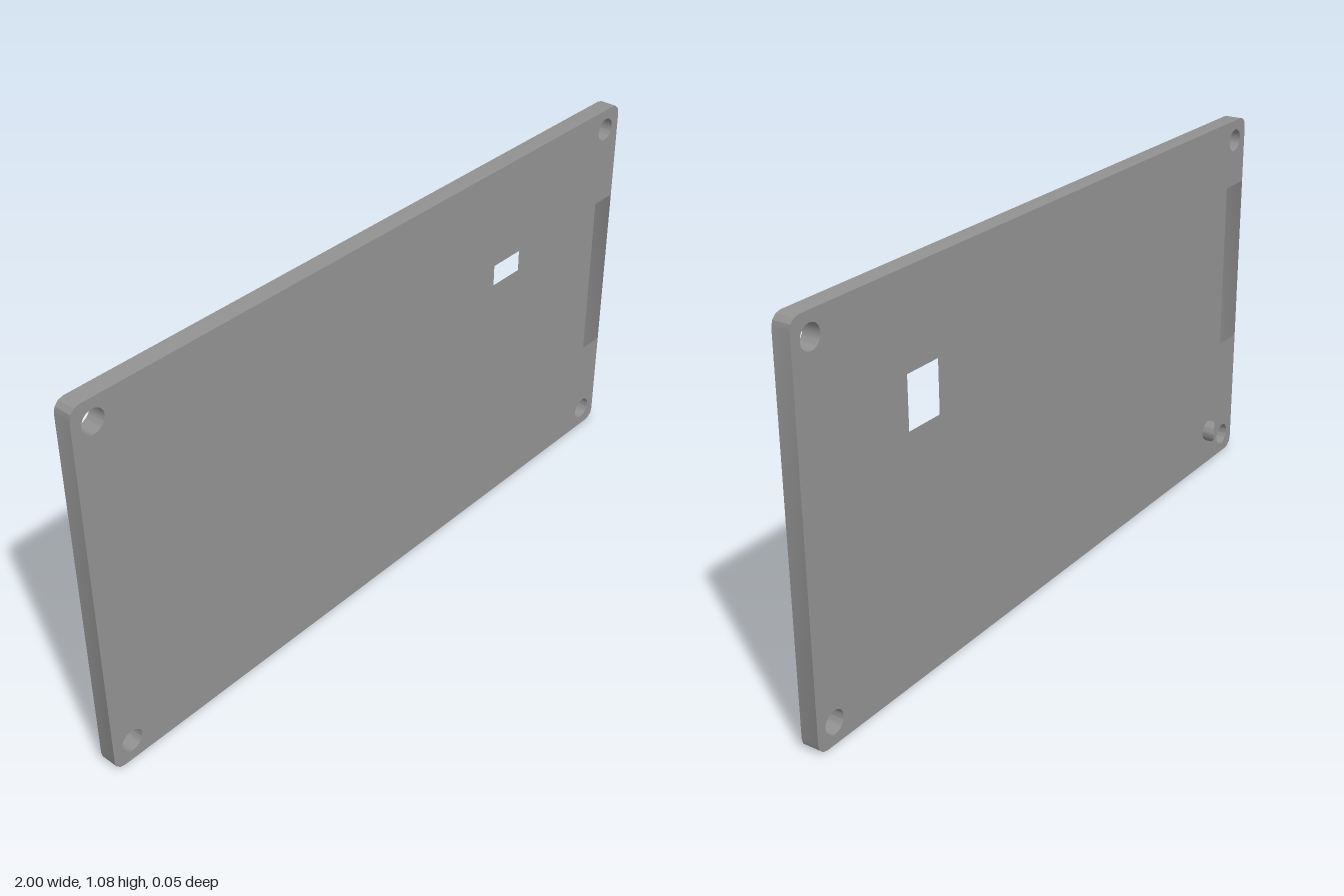
import * as THREE from 'three';
import { toCreasedNormals } from 'three/addons/utils/BufferGeometryUtils.js';

const H = 1.075, DEPTH = 0.05, R = 0.03, CORNER_STEPS = 3;

// Plate outline with faceted corners, optionally with a notch [x, y0, y1] open to the +x edge
function outline(notch) {
  const points = [];
  const corner = (x, y, from) => {
    for (let i = 0; i <= CORNER_STEPS; i++) {
      const a = from + (i / CORNER_STEPS) * Math.PI / 2;
      points.push(new THREE.Vector2(x + R * Math.cos(a), y + R * Math.sin(a)));
    }
  };
  corner(1 - R, R, -Math.PI / 2);
  if (notch) {
    const [x, y0, y1] = notch;
    for (const [px, py] of [[1, y0], [x, y0], [x, y1], [1, y1]]) points.push(new THREE.Vector2(px, py));
  }
  corner(1 - R, H - R, 0);
  corner(-1 + R, H - R, Math.PI / 2);
  corner(-1 + R, R, Math.PI);
  const s = new THREE.Shape(points);

  // Four screw holes
  for (const x of [-0.94, 0.94]) for (const y of [0.06, H - 0.06]) {
    s.holes.push(new THREE.Path().absarc(x, y, 0.032, 0, Math.PI * 2, true));
  }
  return s;
}

function rectHole(x, y, w, h) {
  return new THREE.Path([
    new THREE.Vector2(x, y), new THREE.Vector2(x, y + h),
    new THREE.Vector2(x + w, y + h), new THREE.Vector2(x + w, y),
  ]);
}

export function createModel() {
  const group = new THREE.Group();
  const material = new THREE.MeshStandardMaterial({ color: 0x929292, side: THREE.DoubleSide });
  const add = (name, geometry) => {
    const mesh = new THREE.Mesh(geometry, material);
    mesh.name = name;
    group.add(mesh);
    return mesh;
  };

  // Front skin: side opening and small central window
  const front = outline([0.448, 0.292, 0.787]);
  front.holes.push(rectHole(-0.062, 0.462, 0.153, 0.155));
  add('frontSkin', new THREE.ShapeGeometry(front, 16)).position.z = DEPTH / 2;

  // Back skin, drawn as seen from behind: side opening, window, row of slots
  const back = outline([0.347, 0.38, 0.877]);
  back.holes.push(rectHole(-0.628, 0.677, 0.156, 0.155));
  for (let i = 0; i < 8; i++) back.holes.push(rectHole(-0.012 + i * 0.1135, 0.059, 0.107, 0.218));
  const backSkin = add('backSkin', new THREE.ShapeGeometry(back, 16));
  backSkin.rotation.y = Math.PI;
  backSkin.position.z = -DEPTH / 2;

  // Outer rim and screw hole walls: only the sides of the extrusion
  const solid = new THREE.ExtrudeGeometry(outline(), { depth: DEPTH, bevelEnabled: false, curveSegments: 16 });
  const { start, count } = solid.groups[1];
  const sides = new THREE.BufferGeometry();
  sides.setAttribute('position', new THREE.BufferAttribute(
    solid.attributes.position.array.slice(start * 3, (start + count) * 3), 3));
  sides.translate(0, 0, -DEPTH / 2);
  add('rimAndScrewHoles', toCreasedNormals(sides, 0.45));

  return group;
}
